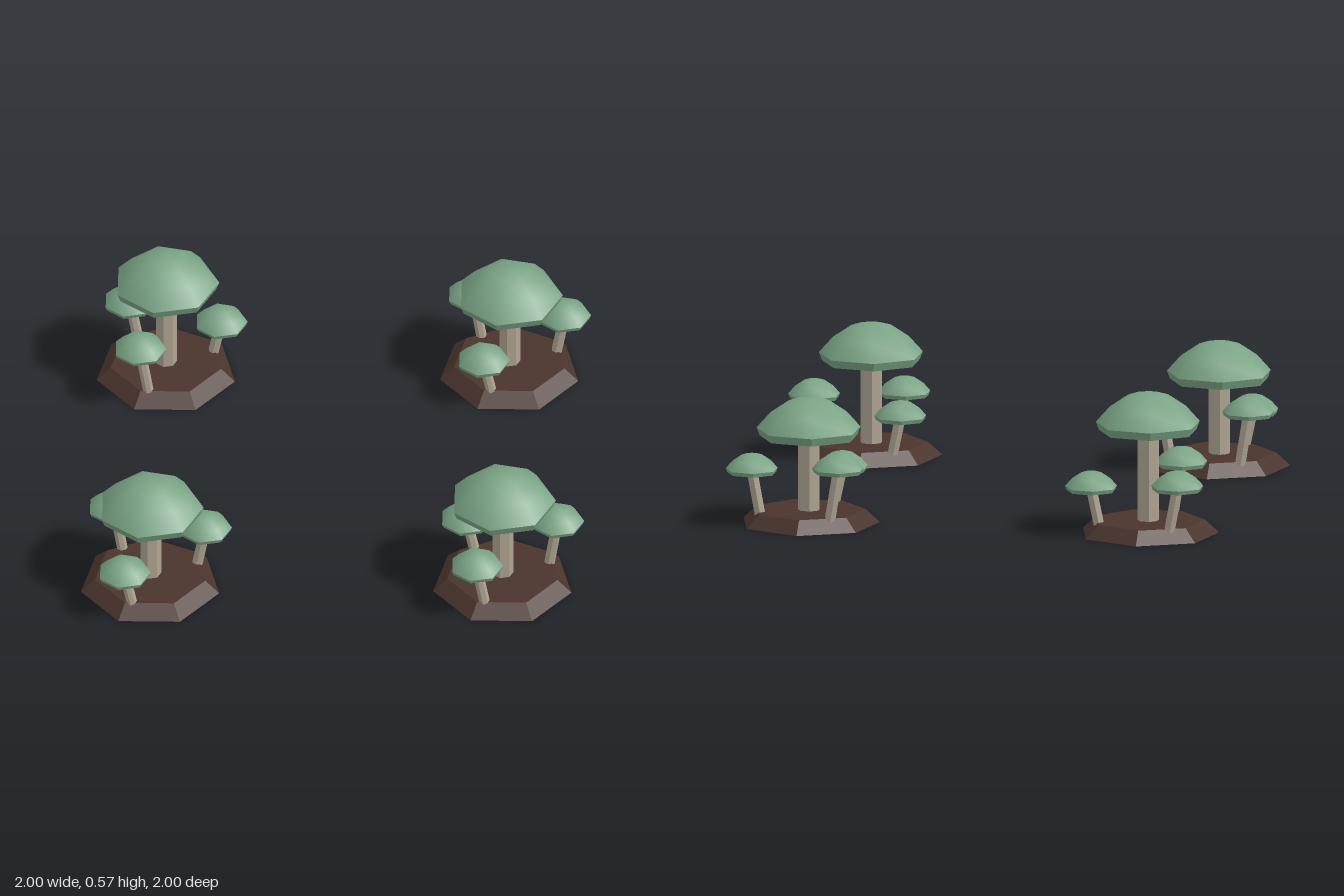
import * as THREE from 'three';
import { toCreasedNormals } from 'three/addons/utils/BufferGeometryUtils.js';

const SIDES = 7;
const CAP_HEIGHT = 0.163;

const capMat = new THREE.MeshStandardMaterial({ color: 0x7aa385 });
capMat.name = 'sage green';
const stemMat = new THREE.MeshStandardMaterial({ color: 0xb0a593 });
stemMat.name = 'pale stem';
const soilMat = new THREE.MeshStandardMaterial({ color: 0x4a342d });
soilMat.name = 'dark soil';

// Domed seven-sided cap with a hard, undercut rim; its underside sits at y = 0
function capGeometry() {
  const profile = [[0, 0], [0.2, 0], [0.212, 0.032], [0.155, 0.096], [0.08, 0.147], [0, CAP_HEIGHT]]
    .map(([r, y]) => new THREE.Vector2(r, y));
  const geo = new THREE.LatheGeometry(profile, SIDES);
  geo.rotateY(Math.PI / 2); // one corner towards +x
  return toCreasedNormals(geo, 0.7);
}

// Straight prism stem, sheared sideways by lean from foot to top
function stemGeometry(radius, height, lean = 0) {
  const geo = new THREE.CylinderGeometry(radius, radius, height, SIDES);
  geo.rotateY(Math.PI / 2);
  geo.translate(0, height / 2, 0);
  const pos = geo.attributes.position;
  for (let i = 0; i < pos.count; i++) {
    pos.setX(i, pos.getX(i) + lean * (pos.getY(i) / height - 1));
  }
  return toCreasedNormals(geo, 0.5);
}

function part(name, geo, mat, x = 0, y = 0, z = 0) {
  const mesh = new THREE.Mesh(geo, mat);
  mesh.name = name;
  mesh.position.set(x, y, z);
  return mesh;
}

// A mushroom whose cap is centred on x, z and whose apex is at height top
function mushroom(name, capGeo, x, z, top, scale, lean) {
  const group = new THREE.Group();
  group.name = name;
  group.position.set(x, 0, z);
  const under = top - CAP_HEIGHT * scale;
  const cap = part('cap', capGeo, capMat, 0, under, 0);
  cap.scale.setScalar(scale);
  group.add(cap, part('stem', stemGeometry(0.044 * scale, under + 0.01, lean), stemMat));
  return group;
}

// Small mushrooms around the large one: x, z, sideways lean
const SMALL = [
  [-0.147, -0.163, -0.04],
  [0.217, -0.075, 0.04],
  [-0.1, 0.189, -0.04],
];

// Clusters: x, z, large height, small heights
const CLUSTERS = [
  [-0.725, 0.707, 0.51, [0.32, 0.29, 0.26]],
  [0.675, 0.675, 0.542, [0.26, 0.32, 0.29]],
  [0.675, -0.722, 0.51, [0.32, 0.29, 0.26]],
  [-0.69, -0.692, 0.575, [0.29, 0.26, 0.32]],
];

export function createModel() {
  const model = new THREE.Group();
  model.name = 'mushroomClusters';

  const capGeo = capGeometry();
  const moundGeo = new THREE.CylinderGeometry(0.225, 0.282, 0.053, SIDES);
  moundGeo.rotateY(Math.PI); // one corner towards the back
  moundGeo.translate(0, 0.0265, 0);
  const mound = toCreasedNormals(moundGeo, 0.3);

  for (const [x, z, top, smallTops] of CLUSTERS) {
    const cluster = new THREE.Group();
    cluster.name = 'cluster';
    cluster.position.set(x, 0, z);
    cluster.add(part('soilMound', mound, soilMat));
    cluster.add(mushroom('largeMushroom', capGeo, 0, 0, top, 1, 0));
    SMALL.forEach(([sx, sz, lean], i) => {
      cluster.add(mushroom('smallMushroom', capGeo, sx, sz, smallTops[i], 0.5, lean));
    });
    model.add(cluster);
  }
  return model;
}
